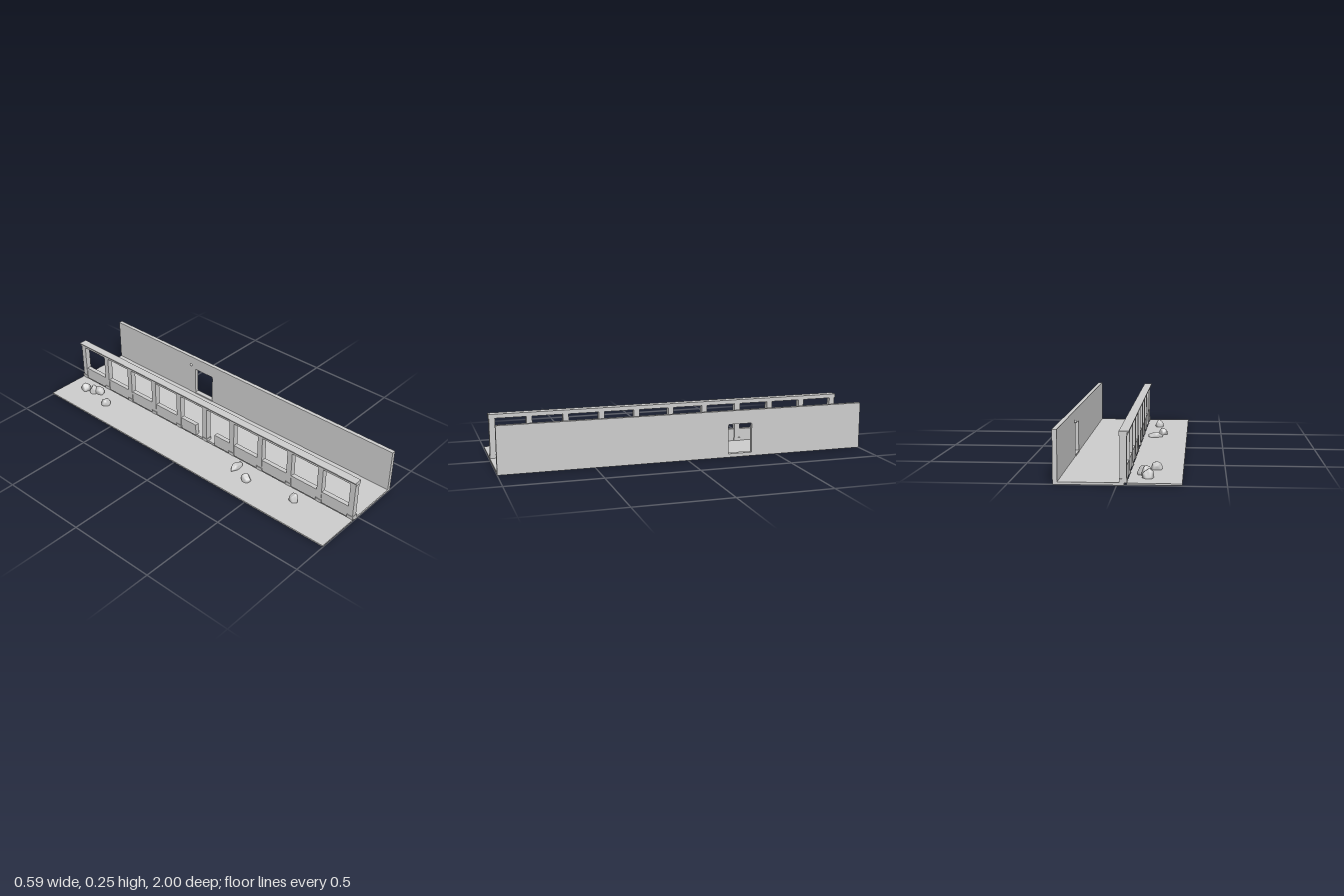
import * as THREE from 'three';
import { mergeVertices } from 'three/addons/utils/BufferGeometryUtils.js';

export function createModel() {
  const model = new THREE.Group();
  model.name = 'arcadeCorridor';
  const stone = new THREE.MeshStandardMaterial({ color: 0xcccccc });
  stone.name = 'plain grey stone';

  const add = (name, geometry, parent = model) => {
    const mesh = new THREE.Mesh(geometry, stone);
    mesh.name = name;
    parent.add(mesh);
    return mesh;
  };
  // Box given by its limits on each axis
  const box = (name, x0, x1, y0, y1, z0, z1, parent) => {
    const mesh = add(name, new THREE.BoxGeometry(x1 - x0, y1 - y0, z1 - z0), parent);
    mesh.position.set((x0 + x1) / 2, (y0 + y1) / 2, (z0 + z1) / 2);
    return mesh;
  };

  // Outside ground and corridor floor, with a narrow gap between them
  box('outerGround', -0.297, -0.045, 0.003, 0.011, -1, 1);
  box('corridorFloor', -0.034, 0.272, 0, 0.012, -1, 1);

  // Long wall with a doorway; shape x runs along -z
  const wallShape = new THREE.Shape([
    [-1, 0], [1, 0], [1, 0.253], [-1, 0.253],
  ].map(([a, b]) => new THREE.Vector2(a, b)));
  const door = new THREE.Path();
  const [a, b, bottom, top, r] = [0.226, 0.358, 0.02, 0.18, 0.006];
  door.moveTo(a, bottom);
  door.lineTo(a, top - r);
  door.quadraticCurveTo(a, top, a + r, top);
  door.lineTo(b - r, top);
  door.quadraticCurveTo(b, top, b, top - r);
  door.lineTo(b, bottom);
  door.closePath();
  wallShape.holes.push(door);
  const wallGeometry = new THREE.ExtrudeGeometry(wallShape, { depth: 0.022, bevelEnabled: false, curveSegments: 4 });
  wallGeometry.rotateY(Math.PI / 2);
  add('longWall', wallGeometry).position.x = 0.271;
  box('doorThreshold', 0.268, 0.296, 0.01, 0.02, -0.36, -0.224);

  // Small knob-like lamp beside the doorway
  const lamp = add('wallLamp', new THREE.SphereGeometry(0.008, 16, 10));
  lamp.position.set(0.268, 0.199, -0.39);
  const lampBase = add('lampBase', new THREE.CylinderGeometry(0.006, 0.006, 0.006, 14));
  lampBase.rotation.z = Math.PI / 2;
  lampBase.position.set(0.27, 0.199, -0.39);

  // Colonnade: eleven columns with wider feet
  const colonnade = new THREE.Group();
  colonnade.name = 'colonnade';
  model.add(colonnade);
  for (let i = -5; i <= 5; i++) {
    const z = i * 0.1963;
    box('column', -0.045, -0.014, 0.012, 0.23, z - 0.0155, z + 0.0155, colonnade);
    box('columnFoot', -0.048, -0.011, 0.012, 0.03, z - 0.0185, z + 0.0185, colonnade);
  }
  // Beam with a small outer lip
  box('beam', -0.048, -0.01, 0.227, 0.249, -1, 1, colonnade);
  box('beamLip', -0.056, -0.048, 0.243, 0.249, -1, 1, colonnade);
  // Low parapet, open around the middle column
  for (const side of [-1, 1]) {
    const ends = [side * 0.07, side * 0.982].sort((p, q) => p - q);
    box('parapet', -0.042, -0.017, 0.011, 0.08, ends[0], ends[1], colonnade);
  }

  // Boulders: x, z, half width, height, half depth
  const boulders = [
    [-0.137, -0.877, 0.028, 0.036, 0.026],
    [-0.127, -0.822, 0.024, 0.038, 0.024],
    [-0.108, -0.793, 0.026, 0.034, 0.032],
    [-0.166, -0.675, 0.027, 0.031, 0.024],
    [-0.112, 0.29, 0.041, 0.025, 0.02],
    [-0.157, 0.395, 0.024, 0.031, 0.029],
    [-0.121, 0.686, 0.024, 0.036, 0.024],
  ];
  boulders.forEach(([x, z, w, h, d], k) => {
    const base = new THREE.IcosahedronGeometry(1, 4);
    base.deleteAttribute('normal');
    base.deleteAttribute('uv');
    const geometry = mergeVertices(base, 1e-4);
    const pos = geometry.attributes.position;
    const v = new THREE.Vector3();
    for (let i = 0; i < pos.count; i++) {
      v.fromBufferAttribute(pos, i);
      // Chip the sphere against a few tilted planes, then ripple it
      let radius = 1.08;
      for (let p = 0; p < 9; p++) {
        const t = p * 2.4 + k * 1.7;
        const up = 1 - (2 * p + 1) / 9;
        const ring = Math.sqrt(1 - up * up);
        const dot = v.x * ring * Math.cos(t) + v.y * up + v.z * ring * Math.sin(t);
        if (dot > 0.1) radius = Math.min(radius, (0.87 + 0.08 * Math.sin(p * 3 + k)) / dot);
      }
      v.multiplyScalar(radius + 0.03 * Math.sin(v.x * 5 + k) * Math.cos(v.z * 4 + k));
      pos.setXYZ(i, v.x * w, Math.max(v.y, -0.25) * h, v.z * d);
    }
    geometry.computeVertexNormals();
    add('boulder', geometry).position.set(x, 0.011 + 0.2 * h, z);
  });

  return model;
}
